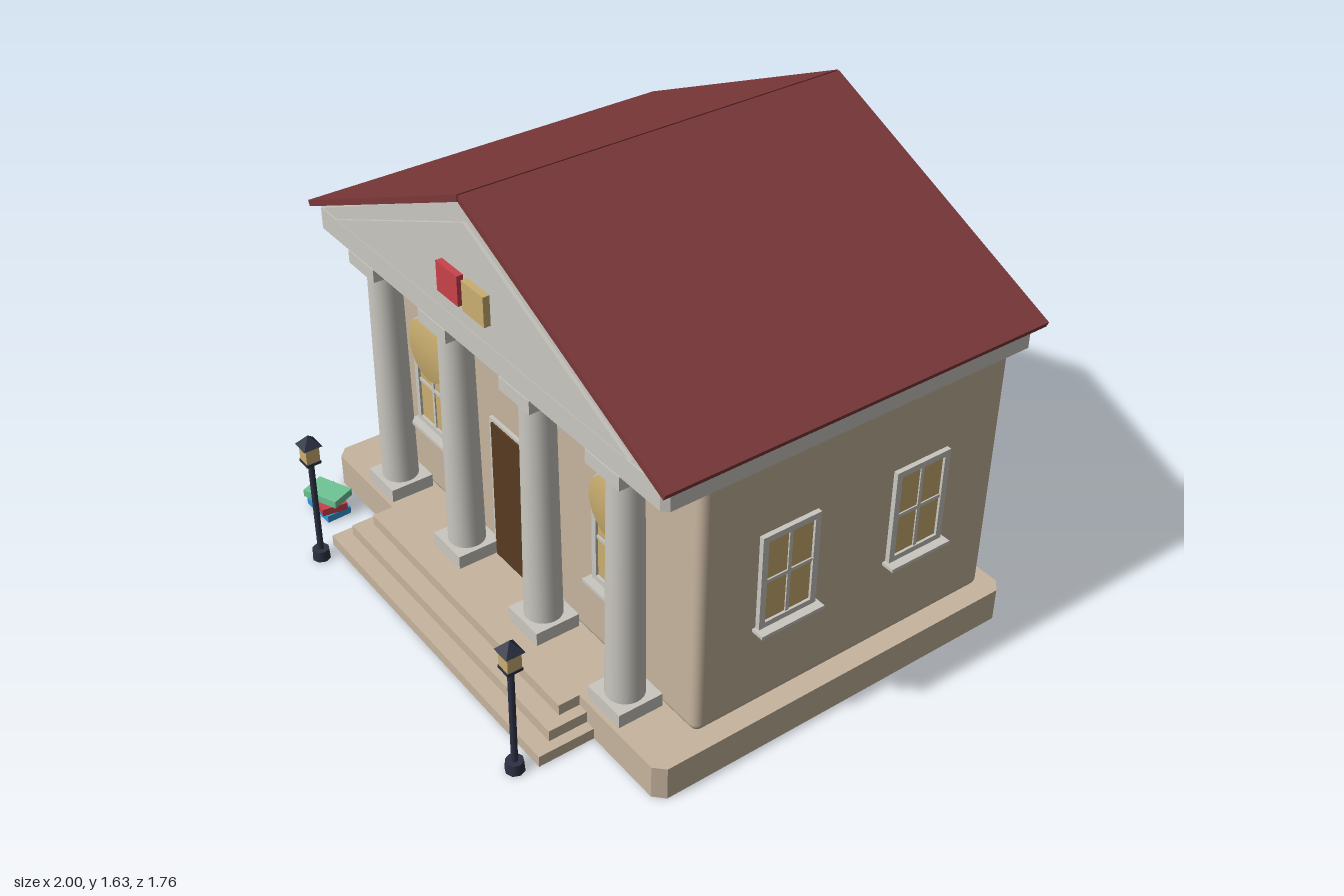
import * as THREE from 'three';
import { RoundedBoxGeometry } from 'three/addons/geometries/RoundedBoxGeometry.js';

const paint = (name, color) => {
  const m = new THREE.MeshStandardMaterial({ color });
  m.name = name;
  return m;
};

export function createModel() {
  const model = new THREE.Group();
  model.name = 'columnedBuilding';
  const wall = paint('sandstone', 0xc6b49e);
  const stone = paint('paleStone', 0xcac7c0);
  const roofRed = paint('roofRed', 0x7b3839);
  const wood = paint('darkWood', 0x573a20);
  const gold = paint('warmGold', 0xcaae70);
  const iron = paint('darkIron', 0x2c3042);
  const red = paint('red', 0xc9424a);
  const green = paint('green', 0x6fc596);
  const blue = paint('blue', 0x3498db);

  const add = (parent, name, geo, mat, x = 0, y = 0, z = 0) => {
    const mesh = new THREE.Mesh(geo, mat);
    mesh.name = name;
    mesh.position.set(x, y, z);
    parent.add(mesh);
    return mesh;
  };
  const box = (w, h, d) => new THREE.BoxGeometry(w, h, d);
  const group = (name, x = 0, y = 0, z = 0, turn = 0) => {
    const g = new THREE.Group();
    g.name = name;
    g.position.set(x, y, z);
    g.rotation.y = turn;
    model.add(g);
    return g;
  };
  // Prism along z from an outline of x, y points
  const prism = (points, depth) => new THREE.ExtrudeGeometry(
    new THREE.Shape(points.map(([x, y]) => new THREE.Vector2(x, y))),
    { depth, bevelEnabled: false });
  // Flat slab with clipped vertical corners, standing on y = 0
  const slab = (w, h, d, c) => {
    const a = w / 2, b = d / 2;
    return prism([[-a + c, -b], [a - c, -b], [a, -b + c], [a, b - c],
      [a - c, b], [-a + c, b], [-a, b - c], [-a, -b + c]], h).rotateX(-Math.PI / 2);
  };

  // Base, walls and entablature
  add(model, 'base', slab(1.98, 0.123, 1.445, 0.035), wall, 0, 0, -0.15);
  add(model, 'walls', new RoundedBoxGeometry(1.86, 0.955, 1.2, 3, 0.03), wall, 0, 0.6025, -0.21);
  add(model, 'entablature', slab(1.94, 0.08, 1.41, 0.02), stone, 0, 1.08, -0.153);

  // Steps
  [[1.16, 0.65], [1.24, 0.715], [1.315, 0.778]].forEach(([w, front], i) => {
    const h = 0.123 - i * 0.041;
    add(model, 'step', box(w, h, front - 0.5), wall, 0, h / 2, (front + 0.5) / 2);
  });

  // Gable and its raised panel
  add(model, 'gable', prism([[-0.945, 1.158], [0.945, 1.158], [0, 1.606]], 1.4), stone, 0, 0, -0.852);
  add(model, 'gablePanel', prism([[-0.82, 1.172], [0.82, 1.172], [0, 1.535]], 0.012), stone, 0, 0, 0.548);
  add(model, 'redPlaque', box(0.12, 0.105, 0.025), red, -0.073, 1.302, 0.571);
  add(model, 'goldPlaque', box(0.12, 0.105, 0.025), gold, 0.072, 1.302, 0.571);

  // Roof slopes
  for (const s of [-1, 1]) {
    add(model, 'roofSlope', prism([[s * 0.003, 1.63], [s * 1, 1.172],
      [s * 0.991, 1.152], [s * 0.003, 1.606]], 1.453), roofRed, 0, 0, -0.88);
  }

  // Columns
  for (const x of [-0.685, -0.235, 0.235, 0.685]) {
    const column = group('column', x, 0, 0.473);
    add(column, 'shaft', new THREE.CylinderGeometry(0.057, 0.065, 0.87, 24), stone, 0, 0.605);
    add(column, 'plinth', box(0.165, 0.05, 0.165), stone, 0, 0.148);
    add(column, 'capital', box(0.165, 0.048, 0.165), stone, 0, 1.057);
  }

  // Windows: y is the middle, facing the group's +z
  const addWindow = (x, y, z, turn) => {
    const w = group('window', x, y, z, turn);
    for (const s of [-1, 1]) {
      add(w, 'frameSide', box(0.022, 0.35, 0.03), stone, s * 0.1, 0, 0);
      add(w, 'frameRail', box(0.222, 0.022, 0.03), stone, 0, s * 0.165, 0);
    }
    add(w, 'glass', box(0.18, 0.31, 0.012), gold);
    add(w, 'mullion', box(0.013, 0.31, 0.022), stone);
    add(w, 'crossBar', box(0.18, 0.013, 0.022), stone);
    add(w, 'sill', box(0.245, 0.012, 0.06), stone, 0, -0.18, 0.015);
  };
  for (const s of [-1, 1]) {
    addWindow(s * 0.53, 0.585, 0.393, 0);
    for (const z of [0.06, -0.465]) addWindow(s * 0.932, 0.622, z, s * Math.PI / 2);
  }
  for (const x of [-0.62, 0, 0.62]) addWindow(x, 0.622, -0.812, Math.PI);

  // Round lights above the front windows, softly shaded at the rim
  for (const s of [-1, 1]) {
    const disc = (r, d) => new THREE.LatheGeometry(
      [[r, 0], [r, d], [0, d]].map(([a, b]) => new THREE.Vector2(a, b)), 32).rotateX(Math.PI / 2);
    add(model, 'roundFrame', disc(0.122, 0.02), stone, s * 0.535, 0.747, 0.388);
    add(model, 'roundLight', disc(0.117, 0.028), gold, s * 0.535, 0.747, 0.388);
  }

  // Door
  add(model, 'doorFrame', box(0.335, 0.56, 0.02), stone, 0, 0.406, 0.393);
  add(model, 'door', box(0.295, 0.55, 0.03), wood, 0, 0.4, 0.395);
  add(model, 'doorKnob', new THREE.SphereGeometry(0.011, 12, 8), gold, 0.09, 0.385, 0.417);

  // Lamp posts
  for (const s of [-1, 1]) {
    const lamp = group('lampPost', s * 0.622, 0, 0.843);
    add(lamp, 'foot', new THREE.CylinderGeometry(0.03, 0.033, 0.04, 8), iron, 0, 0.02);
    add(lamp, 'pole', new THREE.CylinderGeometry(0.011, 0.011, 0.39, 10), iron, 0, 0.225);
    add(lamp, 'lanternTray', box(0.055, 0.01, 0.055), iron, 0, 0.422);
    add(lamp, 'lantern', box(0.05, 0.065, 0.05), gold, 0, 0.457);
    const cap = new THREE.ConeGeometry(0.048, 0.04, 4).toNonIndexed();
    cap.computeVertexNormals();
    add(lamp, 'lanternCap', cap.rotateY(Math.PI / 4), iron, 0, 0.508);
  }

  // Pile of books
  [[blue, 0.05], [red, -0.15], [green, 0.41]].forEach(([mat, turn], i) => {
    const book = add(model, 'book', box(0.145, 0.028, 0.095), mat, -0.85, 0.015 + i * 0.029, 0.69);
    book.rotation.y = turn;
  });

  return model;
}
